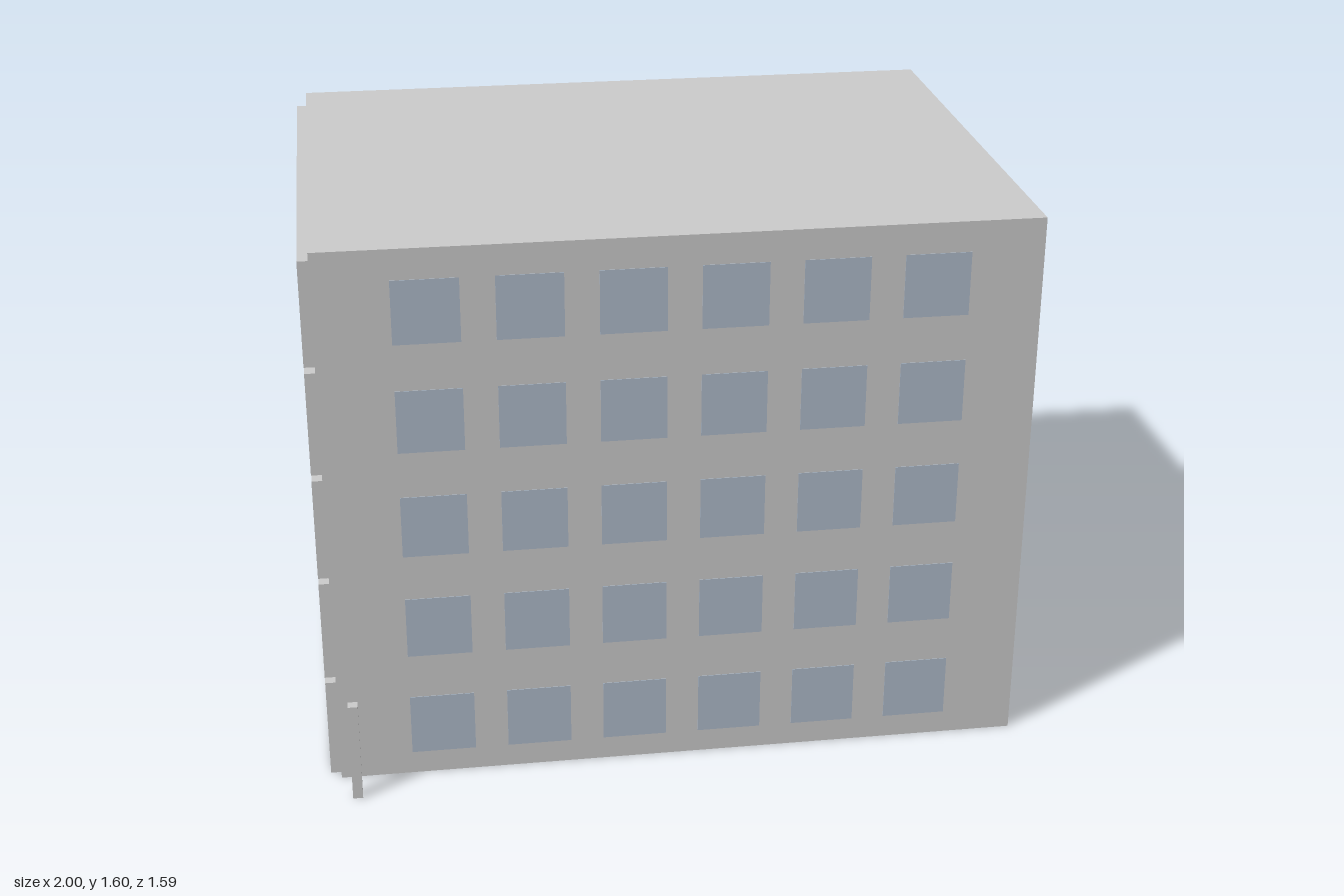
import * as THREE from 'three';

export function createModel() {
  const model = new THREE.Group();
  model.name = 'apartmentBlock';
  const concrete = new THREE.MeshStandardMaterial({ color: 0xcccccc });
  concrete.name = 'concreteGrey';
  const glass = new THREE.MeshStandardMaterial({ color: 0xaebbca });
  glass.name = 'windowBlue';

  // Box given by its minimum and maximum on each axis
  const block = (name, material, [x0, x1], [y0, y1], [z0, z1]) => {
    const mesh = new THREE.Mesh(new THREE.BoxGeometry(x1 - x0, y1 - y0, z1 - z0), material);
    mesh.position.set((x0 + x1) / 2, (y0 + y1) / 2, (z0 + z1) / 2);
    mesh.name = name;
    model.add(mesh);
  };

  const floors = 5, pitch = 0.317, wallHeight = 0.299, top = 1.6;
  const width = [-0.97, 1];
  const inside = [-0.765, 0.655];

  // Full-height front and back walls
  block('frontWall', concrete, width, [0, top], [0.655, 0.685]);
  block('backWall', concrete, width, [0, top], [-0.795, -0.765]);

  for (let i = 0; i < floors; i++) {
    const y = i * pitch;
    const storey = [y, y + wallHeight];

    // Side panels: recessed on the left, standing proud on the right
    block('leftPanel', concrete, [0.94, 0.97], storey, inside);
    block('rightPanel', concrete, [-1, -0.97], storey, inside);

    // Slab above each storey; the last one is the thicker roof
    const last = i === floors - 1;
    block(last ? 'roof' : 'floorSlab', concrete, width,
      [y + wallHeight, last ? top : y + pitch], inside);

    // Row of square window panes
    for (let j = 0; j < 6; j++) {
      const x = -0.674 + j * 0.276, cy = 0.16 + i * 0.3155;
      block('window', glass, [x - 0.091, x + 0.091], [cy - 0.091, cy + 0.091], [0.682, 0.687]);
    }
  }

  // Free-standing post by the front corner
  block('post', concrete, [-0.94, -0.912], [0, wallHeight], [0.767, 0.795]);

  return model;
}
